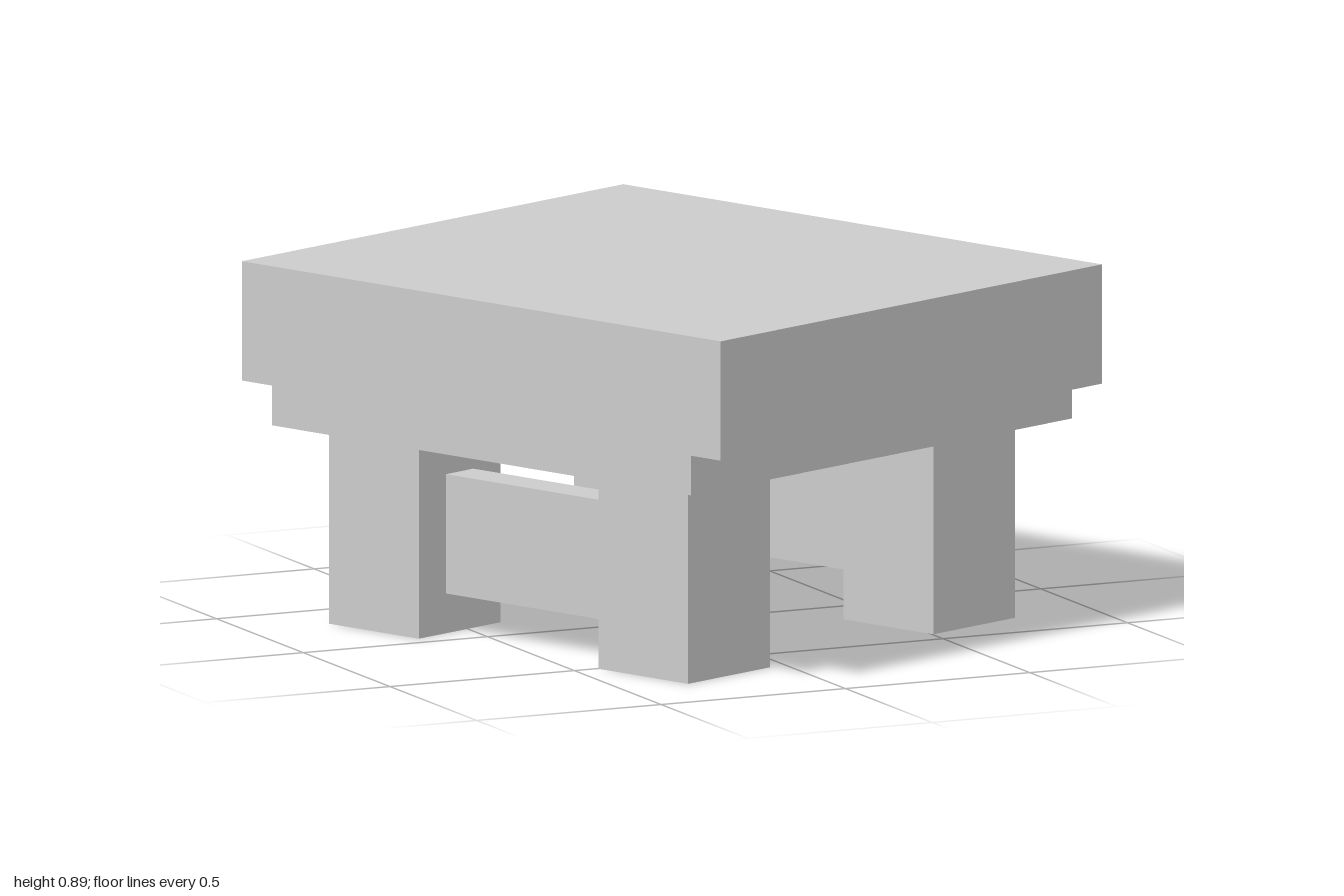
import * as THREE from 'three';

// Everything sits on a regular grid; one grid unit is U.
const U = 0.0993;

export function createModel() {
  const stool = new THREE.Group();
  stool.name = 'stool';
  const material = new THREE.MeshStandardMaterial({ color: 0xcccccc, flatShading: true });

  // Box of size w, h, d centred on x, z with its underside at y (all in grid units)
  function block(name, w, h, d, x, y, z) {
    const mesh = new THREE.Mesh(new THREE.BoxGeometry(w * U, h * U, d * U), material);
    mesh.position.set(x * U, (y + h / 2) * U, z * U);
    mesh.name = name;
    stool.add(mesh);
  }

  // Thick seat overhanging the apron at front and back
  block('seat', 14, 3, 16, 0, 6, 0);
  block('apron', 14, 1, 14, 0, 5, 0);

  // Four square legs, with a stretcher joining front and back on each side
  for (const sx of [-1, 1]) {
    const side = sx > 0 ? 'left' : 'right';
    block(side + 'FrontLeg', 3, 5, 3, sx * 4.5, 0, 4.5);
    block(side + 'BackLeg', 3, 5, 3, sx * 4.5, 0, -4.5);
    block(side + 'Stretcher', 1, 3, 6, sx * 4.5, 1, 0);
  }

  // The whole piece stands turned by an eighth of a half circle
  stool.rotation.y = Math.PI / 8;

  const model = new THREE.Group();
  model.name = 'turnedStool';
  model.add(stool);
  return model;
}
